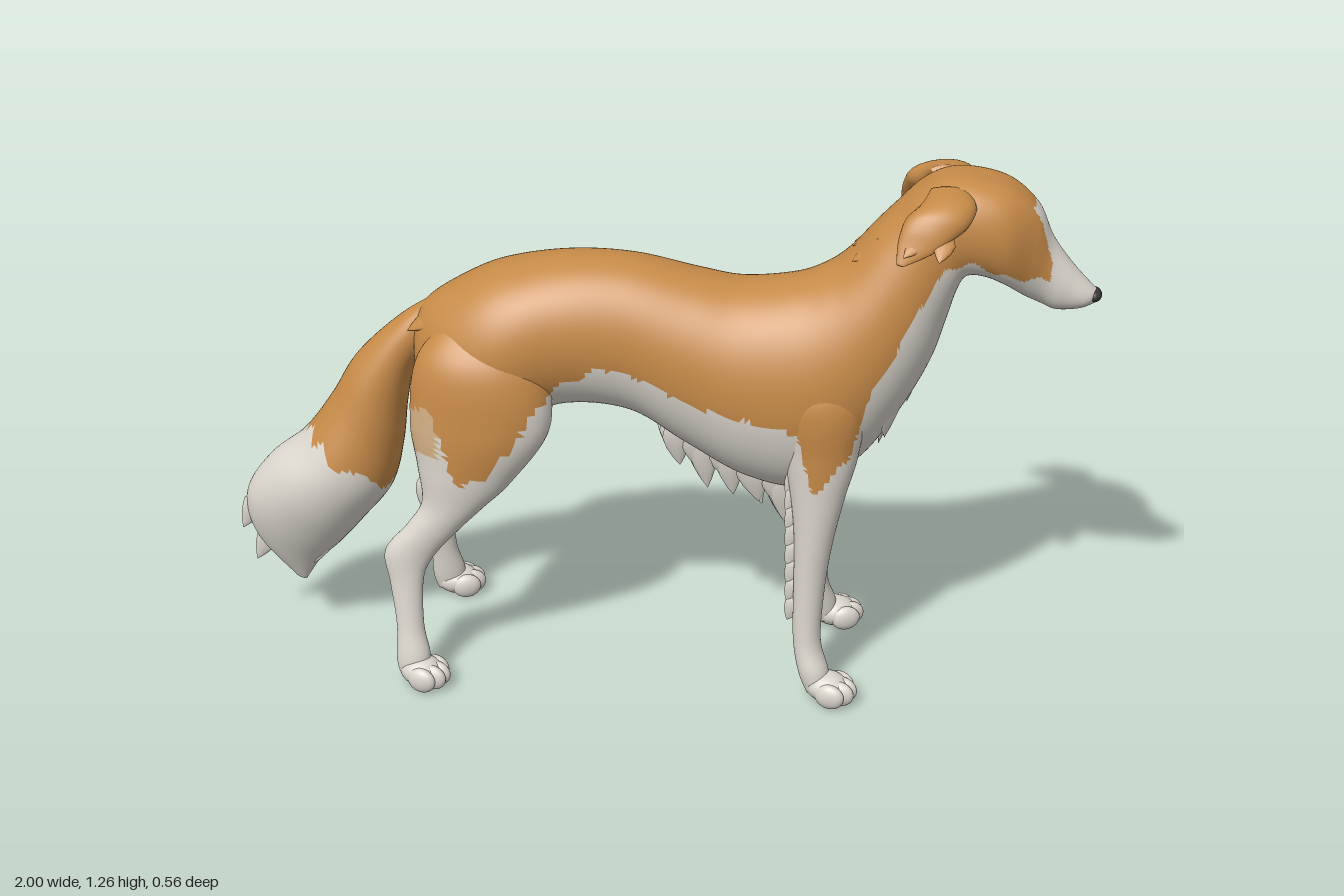
import * as THREE from 'three';

const mat = (name, hex) => {
  const m = new THREE.MeshStandardMaterial({ color: hex });
  m.name = name;
  return m;
};

// Smooth interpolation through rows of numbers
function sample(rows, t) {
  const n = rows.length - 1, p = Math.min(t * n, n - 1e-6), i = Math.floor(p), u = p - i;
  const at = k => rows[Math.max(0, Math.min(n, k))];
  return rows[i].map((_, k) => {
    const [a, b, c, d] = [at(i - 1)[k], at(i)[k], at(i + 1)[k], at(i + 2)[k]];
    return b + 0.5 * u * (c - a + u * (2 * a - 5 * b + 4 * c - d + u * (3 * (b - c) + d - a)));
  });
}

// Loft of oval rings: [ax, ay, bx, by, halfWidth, z, power]; a and b are opposite ends of each
// oval, a power below 1 makes it boxier. coat(x, y, z) gives each face its material index.
const TAN = 0, WHITE = 1, PALE = 2;
function loft(rows, steps, sides, coat) {
  const pos = [], parts = [[], [], []];
  for (let i = 0; i <= steps; i++) {
    const [ax, ay, bx, by, w, z = 0, power = 1] = sample(rows, i / steps);
    for (let j = 0; j < sides; j++) {
      const a = j / sides * Math.PI * 2, c = Math.cos(a) / 2, s = Math.sin(a);
      pos.push((ax + bx) / 2 + (ax - bx) * c, (ay + by) / 2 + (ay - by) * c,
        z + Math.max(w, 0.002) * Math.sign(s) * Math.abs(s) ** power);
    }
  }
  const face = (a, b, c) => {
    const mid = k => (pos[a * 3 + k] + pos[b * 3 + k] + pos[c * 3 + k]) / 3;
    parts[coat(mid(0), mid(1), mid(2))].push(a, b, c);
  };
  for (let i = 0; i < steps; i++) for (let j = 0; j < sides; j++) {
    const k = (j + 1) % sides, a = i * sides + j, b = i * sides + k;
    face(a, a + sides, b);
    face(b, a + sides, b + sides);
  }
  // End caps
  const last = steps * sides;
  for (let j = 1; j < sides - 1; j++) {
    face(0, j, j + 1);
    face(last, last + j + 1, last + j);
  }
  const g = new THREE.BufferGeometry();
  g.setAttribute('position', new THREE.Float32BufferAttribute(pos, 3));
  // Keep faces outward whichever way the rings run
  const idx = parts.flat();
  let vol = 0;
  const P = i => new THREE.Vector3(pos[i * 3], pos[i * 3 + 1], pos[i * 3 + 2]);
  for (let i = 0; i < idx.length; i += 3) vol += P(idx[i]).dot(P(idx[i + 1]).cross(P(idx[i + 2])));
  if (vol < 0) for (let i = 0; i < idx.length; i += 3) [idx[i], idx[i + 1]] = [idx[i + 1], idx[i]];
  g.setIndex(idx);
  let start = 0;
  parts.forEach((p, i) => {
    if (p.length) g.addGroup(start, p.length, i);
    start += p.length;
  });
  g.computeVertexNormals();
  return g;
}

// Lower edge of the tan coat, as height over x
const EDGE = [[-0.6, 0.62], [-0.55, 0.68], [-0.5, 0.72], [-0.43, 0.52], [-0.37, 0.55], [-0.3, 0.63], [-0.22, 0.75],
  [-0.1, 0.815], [0, 0.785], [0.1, 0.74], [0.25, 0.71], [0.34, 0.69], [0.38, 0.54], [0.46, 0.63], [0.5, 0.78],
  [0.55, 0.88], [0.6, 0.99], [0.65, 1.07], [0.7, 1.09], [0.75, 1.07], [0.8, 1.05], [0.88, 1.035], [0.895, 1.2], [1.1, 2]];
function coatEdge(x) {
  const i = Math.max(1, EDGE.findIndex(e => e[0] > x)), [a, b] = [EDGE[i - 1], EDGE[i]];
  return a[1] + (b[1] - a[1]) * (x - a[0]) / (b[0] - a[0]) + 0.006 * Math.sin(x * 90);
}

export function createModel() {
  const dog = new THREE.Group();
  dog.name = 'dog';
  const tan = mat('tan coat', 0xc68a48), white = mat('white coat', 0xdad5cc);
  const pale = mat('pale tan coat', 0xd0ad82), dark = mat('dark nose', 0x3b3632);
  const coats = [tan, white, pale];
  const add = (name, geo, material, parent = dog) => {
    const m = new THREE.Mesh(geo, material);
    m.name = name;
    parent.add(m);
    return m;
  };
  const ball = (name, material, x, y, z, sx, sy, sz, parent) => {
    const m = add(name, new THREE.SphereGeometry(1, 20, 14), material, parent);
    m.position.set(x, y, z);
    m.scale.set(sx, sy, sz);
  };

  // Body, neck and head in one skin; a is the top line, b the underside
  const body = [
    [-0.56, 0.84, -0.56, 0.76, 0.02], [-0.53, 0.90, -0.54, 0.67, 0.09], [-0.45, 0.955, -0.46, 0.60, 0.155],
    [-0.35, 1.0, -0.33, 0.62, 0.18], [-0.2, 1.03, -0.2, 0.67, 0.16], [-0.05, 1.03, -0.05, 0.66, 0.15],
    [0.1, 1.0, 0.08, 0.585, 0.165], [0.2, 0.985, 0.22, 0.51, 0.18], [0.32, 1.0, 0.36, 0.49, 0.185],
    [0.39, 1.03, 0.48, 0.57, 0.178], [0.44, 1.07, 0.57, 0.70, 0.164], [0.49, 1.13, 0.63, 0.82, 0.145],
    [0.54, 1.185, 0.66, 0.92, 0.13], [0.59, 1.23, 0.68, 1.0, 0.12], [0.65, 1.26, 0.70, 1.035, 0.12],
    [0.72, 1.26, 0.74, 1.035, 0.121], [0.79, 1.24, 0.785, 1.015, 0.11], [0.85, 1.19, 0.83, 0.985, 0.074],
    [0.885, 1.12, 0.865, 0.965, 0.053], [0.93, 1.06, 0.90, 0.952, 0.046], [0.975, 1.012, 0.95, 0.957, 0.035],
    [0.992, 0.998, 0.985, 0.97, 0.014]].map((r, i) => [...r, 0, i > 12 && i < 18 ? 0.65 : 0.95]);
  add('body', loft(body, 210, 84, (x, y, z) => {
    const blaze = x > 0.79 && y < 1.2 && Math.abs(z) < 0.045;
    const groin = x < -0.1 && y < 0.75 && Math.abs(z) < 0.12;
    return y > coatEdge(x) && !blaze && !groin ? TAN : WHITE;
  }), coats);
  ball('nose', dark, 0.981, 0.988, 0, 0.018, 0.016, 0.027);

  // Tail plume; a is the underside, b the top
  const tail = [
    [-0.5, 0.80, -0.48, 0.93, 0.03], [-0.56, 0.74, -0.59, 0.86, 0.055], [-0.585, 0.64, -0.70, 0.755, 0.08],
    [-0.60, 0.53, -0.765, 0.65, 0.1], [-0.63, 0.42, -0.84, 0.55, 0.122], [-0.70, 0.33, -0.93, 0.475, 0.118],
    [-0.76, 0.26, -0.99, 0.38, 0.09], [-0.82, 0.20, -0.975, 0.27, 0.05], [-0.86, 0.14, -0.885, 0.15, 0.006]];
  add('tail', loft(tail, 80, 48, (x, y, z) => y > 0.49 - 0.7 * (x + 0.7) + 0.015 * Math.sin(z * 90 + x * 50) ? TAN : WHITE), coats);

  // Legs; a is the front edge, b the back edge
  const hind = [
    [-0.34, 0.92, -0.43, 0.92, 0.02, 0.08], [-0.24, 0.8, -0.53, 0.81, 0.078, 0.112], [-0.225, 0.65, -0.55, 0.66, 0.083, 0.13],
    [-0.31, 0.52, -0.535, 0.55, 0.068, 0.142], [-0.38, 0.45, -0.525, 0.46, 0.048, 0.155], [-0.44, 0.39, -0.56, 0.4, 0.036, 0.165],
    [-0.5, 0.32, -0.615, 0.33, 0.03, 0.172], [-0.525, 0.26, -0.605, 0.25, 0.027, 0.18], [-0.525, 0.15, -0.59, 0.15, 0.026, 0.198],
    [-0.51, 0.08, -0.59, 0.06, 0.032, 0.212], [-0.51, 0.03, -0.58, 0.02, 0.028, 0.215]];
  const fore = [
    [0.44, 0.9, 0.35, 0.9, 0.02, 0.1], [0.49, 0.76, 0.29, 0.76, 0.066, 0.12], [0.48, 0.62, 0.31, 0.62, 0.066, 0.12],
    [0.455, 0.52, 0.33, 0.5, 0.055, 0.128], [0.43, 0.4, 0.34, 0.4, 0.045, 0.135], [0.415, 0.28, 0.342, 0.28, 0.038, 0.14],
    [0.41, 0.15, 0.345, 0.15, 0.034, 0.15], [0.43, 0.08, 0.36, 0.07, 0.036, 0.165], [0.44, 0.03, 0.38, 0.02, 0.03, 0.17]];
  const paw = (name, x, z, side) => {
    const g = new THREE.Group();
    g.name = name;
    g.position.set(x, 0, z);
    g.rotation.y = -side * 0.3;
    ball('pad', white, 0, 0.038, 0, 0.052, 0.036, 0.045, g);
    for (let i = 0; i < 4; i++) {
      const k = i - 1.5;
      ball('toe', white, 0.036 - 0.008 * k * k, 0.032, k * 0.023, 0.036, 0.031, 0.018, g);
    }
    dog.add(g);
  };

  // Pointed fur locks, flat against the skin: root, tip direction, skin normal, length, half width
  const lock = [[0, 0], [0.7, 0.1], [1, 0.35], [0.8, 0.6], [0.4, 0.83], [0, 1]].map(p => new THREE.Vector2(...p));
  const tuft = (name, material, root, dir, normal, len, w) => {
    const y = new THREE.Vector3(...dir).normalize(), x = new THREE.Vector3().crossVectors(y, new THREE.Vector3(...normal)).normalize();
    const frame = new THREE.Matrix4().makeBasis(x, y, new THREE.Vector3().crossVectors(x, y));
    const m = add(name, new THREE.LatheGeometry(lock, 10).scale(w, len, w * 0.35), material);
    m.quaternion.setFromRotationMatrix(frame);
    m.position.set(...root);
  };

  for (const side of [1, -1]) {
    const s = side > 0 ? 'left' : 'right';
    const place = rows => rows.map(r => [...r.slice(0, 5), r[5] * side]);
    const outer = (x, y, z) => y > coatEdge(x) && z * side > 0.1 ? TAN : WHITE;
    // Pale patches behind the thigh and inside the hock
    const hindCoat = (x, y, z) => {
      const hock = y > 0.34 && y < 0.47 && z * side < 0.155 && x < -0.46;
      const thigh = y > 0.59 && y <= coatEdge(x) && x < -0.475 && z * side > 0.1;
      return hock || thigh ? PALE : outer(x, y, z);
    };
    add(s + 'HindLeg', loft(place(hind), 90, 40, hindCoat), coats);
    add(s + 'FrontLeg', loft(place(fore), 90, 40, outer), coats);
    paw(s + 'HindPaw', -0.53, 0.222 * side, side);
    paw(s + 'FrontPaw', 0.43, 0.178 * side, side);

    // Folded ear, arching outward and hanging back to a ragged tip
    const ear = [[0.03, 0.02, -0.05, 0.02, 0.012, 0], [0.05, -0.03, -0.07, -0.03, 0.032, 0.008], [0.035, -0.08, -0.1, -0.07, 0.034, 0.012],
      [0, -0.115, -0.11, -0.1, 0.024, 0.008], [-0.04, -0.145, -0.115, -0.13, 0.012, -0.004], [-0.1, -0.17, -0.115, -0.165, 0.002, -0.02]];
    const e = add(s + 'Ear', loft(place(ear), 30, 24, () => TAN), coats);
    e.position.set(0.66, 1.23, 0.08 * side);
    e.rotation.x = -side * 0.95;
    tuft(s + 'EarTuft', tan, [0.62, 1.185, side * 0.15], [-0.5, -0.4, side * 0.5], [0, 1, side], 0.1, 0.025);
    tuft(s + 'EarTuft', tan, [0.65, 1.175, side * 0.16], [-0.15, -0.45, side * 0.6], [0, 1, side], 0.075, 0.025);

    // Feathering on the legs and shoulder
    for (let i = 0; i < 8; i++)
      tuft('foreFeather', white, [0.355, 0.6 - i * 0.05, side * 0.132], [-0.4, -1, 0], [0, 0, side], 0.1 - i * 0.004, 0.025);
    for (let i = 0; i < 3; i++)
      tuft('shoulderFeather', tan, [0.4 + i * 0.025, 0.78 + i * 0.06, side * (0.164 - i * 0.006)], [-0.08, -1, side * 0.1], [0, 0, side], 0.15, 0.04);
  }

  // Belly fringe
  for (let i = 0; i < 10; i++) {
    const x = 0.04 + i * 0.031;
    for (const z of [-0.045, 0, 0.045])
      tuft('bellyTuft', white, [x + z * 0.25, 0.645 - i * 0.014, z], [0.1 + 0.25 * (i % 2), -1, -z * 3], [0, 0, 1], 0.125 + 0.015 * (i % 3), 0.034);
  }
  // Chest ruff
  [[0.635, 0.97, 0], [0.61, 0.91, 0.06], [0.6, 0.86, 0], [0.575, 0.8, 0.07], [0.54, 0.75, 0]].forEach(([x, y, z]) => {
    for (const s of z ? [1, -1] : [1]) tuft('chestTuft', white, [x - z * 0.3, y, z * s], [-0.12, -1, 0], [1, -0.2, z * s * 8], 0.16, 0.05);
  });
  // Nape and rump locks
  [[0.58, 1.195], [0.53, 1.14], [0.48, 1.08], [0.43, 1.035], [-0.43, 0.95], [-0.48, 0.92]].forEach(([x, y]) => {
    for (const z of [-0.045, 0, 0.045])
      tuft('backTuft', tan, [x, y - 0.012 - Math.abs(z) * 0.3, z], [-1, -0.6, z * 4], [-0.5, 1, z * 10], 0.1, 0.035);
  });
  // Tail locks along both edges
  for (let i = 0; i < 7; i++) {
    const r = tail[i + 1], z = (i % 3 - 1) * 0.02;
    tuft('tailTopTuft', i < 3 ? tan : white, [r[2] + 0.04, r[3] + 0.01, z], [-0.5, -1, z], [0, 0, 1], 0.12, 0.03);
    if (i > 2) tuft('tailUnderTuft', white, [r[0] - 0.035, r[1] + 0.04, z], [-0.35, -1, z], [0, 0, 1], 0.11, 0.03);
  }
  return dog;
}
